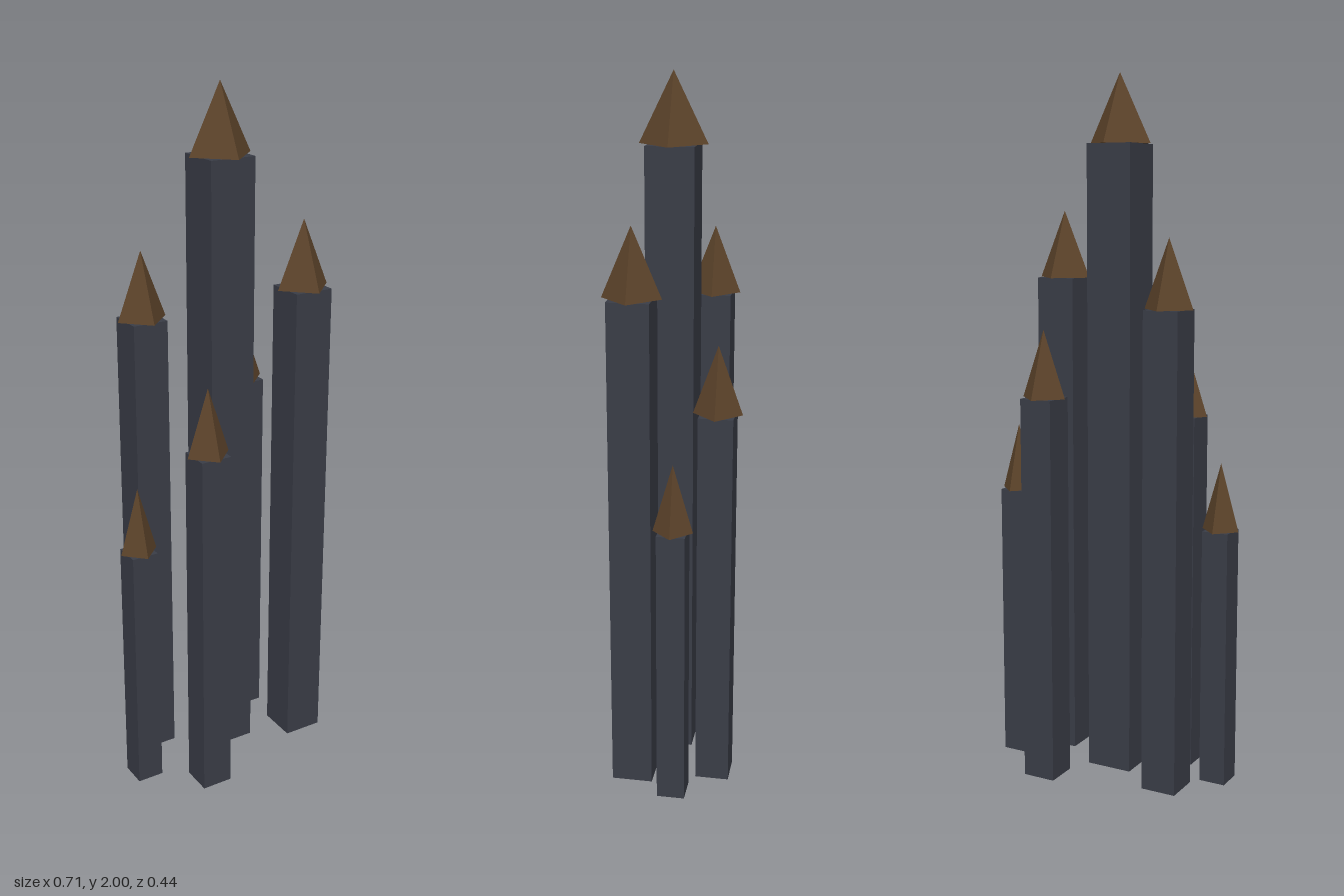
import * as THREE from 'three';

const stone = new THREE.MeshStandardMaterial({ color: 0x3a3d47, flatShading: true });
const roofing = new THREE.MeshStandardMaterial({ color: 0x5c432a, flatShading: true });
const ROOF_HEIGHT = 0.19;

// Square shaft with a four-sided spire whose corners point along the axes
function tower({ name, x, z, bottom, top, width, radius }) {
  const group = new THREE.Group();
  group.name = name;
  group.position.set(x, 0, z);

  const shaft = new THREE.Mesh(new THREE.BoxGeometry(width, top - bottom, width), stone);
  shaft.name = 'shaft';
  shaft.position.y = (top + bottom) / 2;

  const roof = new THREE.Mesh(new THREE.ConeGeometry(radius, ROOF_HEIGHT, 4), roofing);
  roof.name = 'roof';
  roof.position.y = top + ROOF_HEIGHT / 2;

  group.add(shaft, roof);
  return group;
}

export function createModel() {
  const model = new THREE.Group();
  model.name = 'towerCluster';
  const towers = [
    { name: 'centralTower', x: -0.007, z: -0.004, bottom: 0.025, top: 1.81, width: 0.134, radius: 0.094 },
    { name: 'frontLeftTower', x: 0.214, z: 0.069, bottom: 0.025, top: 1.438, width: 0.115, radius: 0.081 },
    { name: 'backRightTower', x: -0.203, z: -0.092, bottom: 0.02, top: 1.37, width: 0.103, radius: 0.073 },
    { name: 'backLeftTower', x: 0.153, z: -0.153, bottom: 0.01, top: 1.115, width: 0.096, radius: 0.068 },
    { name: 'frontRightTower', x: -0.141, z: 0.155, bottom: 0, top: 1.045, width: 0.09, radius: 0.064 },
    { name: 'outerLeftTower', x: 0.3, z: -0.055, bottom: 0.025, top: 0.825, width: 0.078, radius: 0.055 },
    { name: 'outerRightTower', x: -0.301, z: 0.044, bottom: 0.01, top: 0.747, width: 0.077, radius: 0.055 },
  ];
  for (const spec of towers) model.add(tower(spec));
  return model;
}
